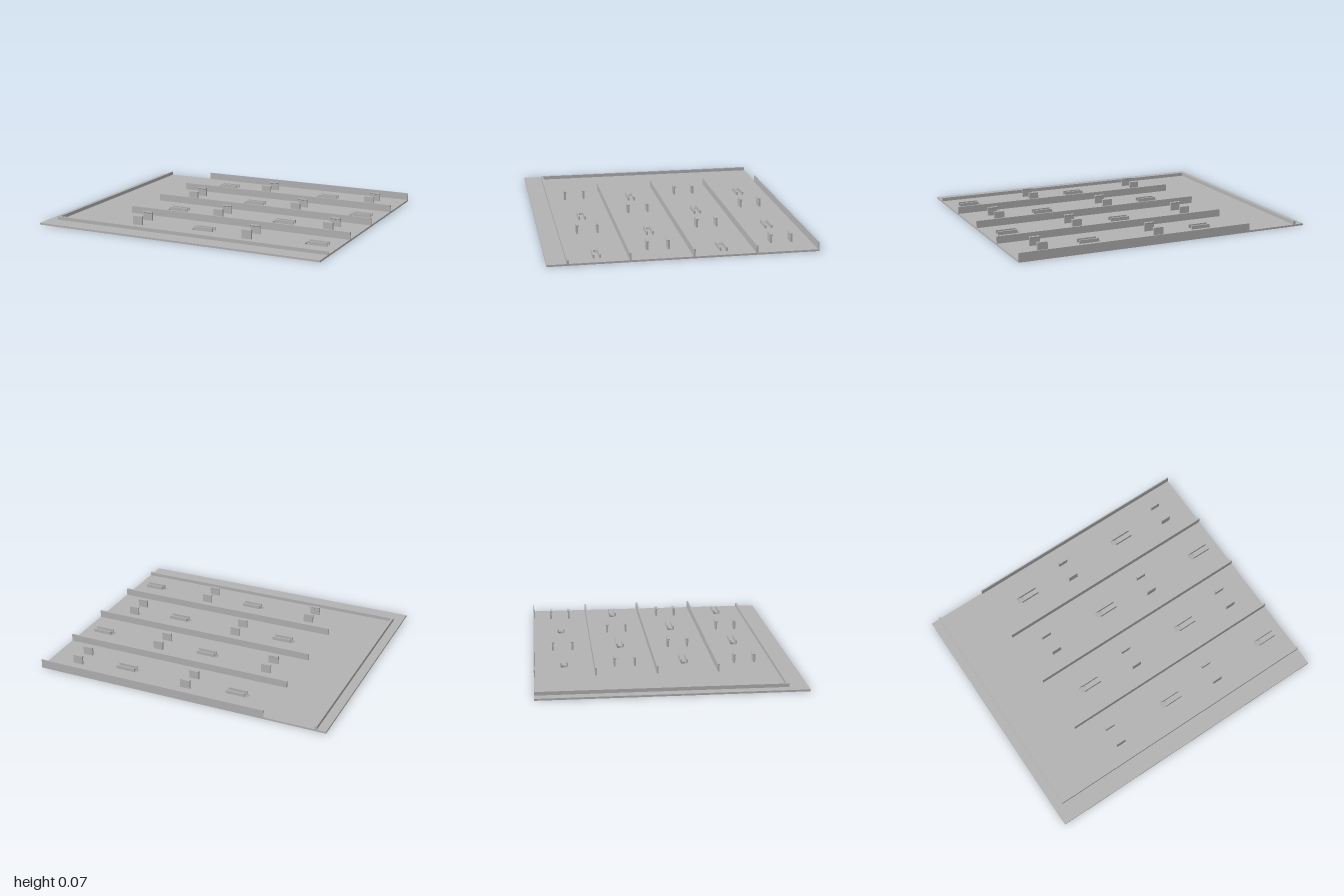
import * as THREE from 'three';

export function createModel() {
  const model = new THREE.Group();
  model.name = 'ribbedPanel';
  const grey = new THREE.MeshStandardMaterial({ color: 0xb2b2b2 });
  grey.name = 'panelGrey';

  const W = 1, D = 0.85, T = 0.012; // half width, half depth, plate thickness
  const rows = [0.536, 0.14, -0.256, -0.652];
  const holeXs = [[0.006, 0.798], [-0.39, 0.402]]; // hole columns alternate by row

  function add(name, geometry, x = 0, y = 0, z = 0) {
    const mesh = new THREE.Mesh(geometry, grey);
    mesh.name = name;
    mesh.position.set(x, y, z);
    model.add(mesh);
    return mesh;
  }

  // Upright wall standing on the plate, given by its extents
  function wall(name, x0, x1, z0, z1, top) {
    add(name, new THREE.BoxGeometry(x1 - x0, top - T, z1 - z0),
      (x0 + x1) / 2, (top + T) / 2, (z0 + z1) / 2);
  }

  // Base plate with round through holes
  const outline = new THREE.Shape([
    new THREE.Vector2(-W, -D), new THREE.Vector2(W, -D),
    new THREE.Vector2(W, D), new THREE.Vector2(-W, D),
  ]);
  rows.forEach((z, i) => {
    for (const x of holeXs[i % 2]) {
      const hole = new THREE.Path();
      hole.absarc(x, -z, 0.024, 0, Math.PI * 2, true);
      outline.holes.push(hole);
    }
  });
  const plate = new THREE.ExtrudeGeometry(outline, { depth: T, bevelEnabled: false, curveSegments: 12 });
  plate.rotateX(-Math.PI / 2);
  add('basePlate', plate);

  // Low border lip along the side and front
  wall('sideLip', -0.94, -0.925, -D, 0.728, 0.035);
  wall('frontLip', -0.925, W, 0.713, 0.728, 0.035);

  // Long divider ribs, the last one flush with the back edge
  for (const z of [0.339, -0.057, -0.453]) wall('dividerRib', -0.59, W, z - 0.006, z + 0.006, 0.06);
  wall('backRib', -0.59, W, -D, -0.843, 0.06);

  // Hooked clip, its hook pointing toward -z
  const hook = new THREE.Shape([
    [0.061, T], [0.073, T], [0.073, 0.07], [0.055, 0.07], [0.055, 0.064], [0.061, 0.06],
  ].map(([z, y]) => new THREE.Vector2(z, y)));
  const clip = new THREE.ExtrudeGeometry(hook, { depth: 0.068, bevelEnabled: false });
  clip.translate(0, 0, -0.034).rotateY(-Math.PI / 2);

  rows.forEach((z, i) => {
    // Twin guide rails beside each hole
    for (const x of holeXs[i % 2]) {
      for (const s of [-1, 1]) wall('guideRail', x, x + 0.131, z + s * 0.02 - 0.005, z + s * 0.02 + 0.005, 0.035);
    }
    // Facing clip pairs in the other columns
    for (const x of holeXs[(i + 1) % 2]) {
      add('frontClip', clip, x, 0, z);
      add('backClip', clip, x, 0, z).rotation.y = Math.PI;
    }
  });

  return model;
}
